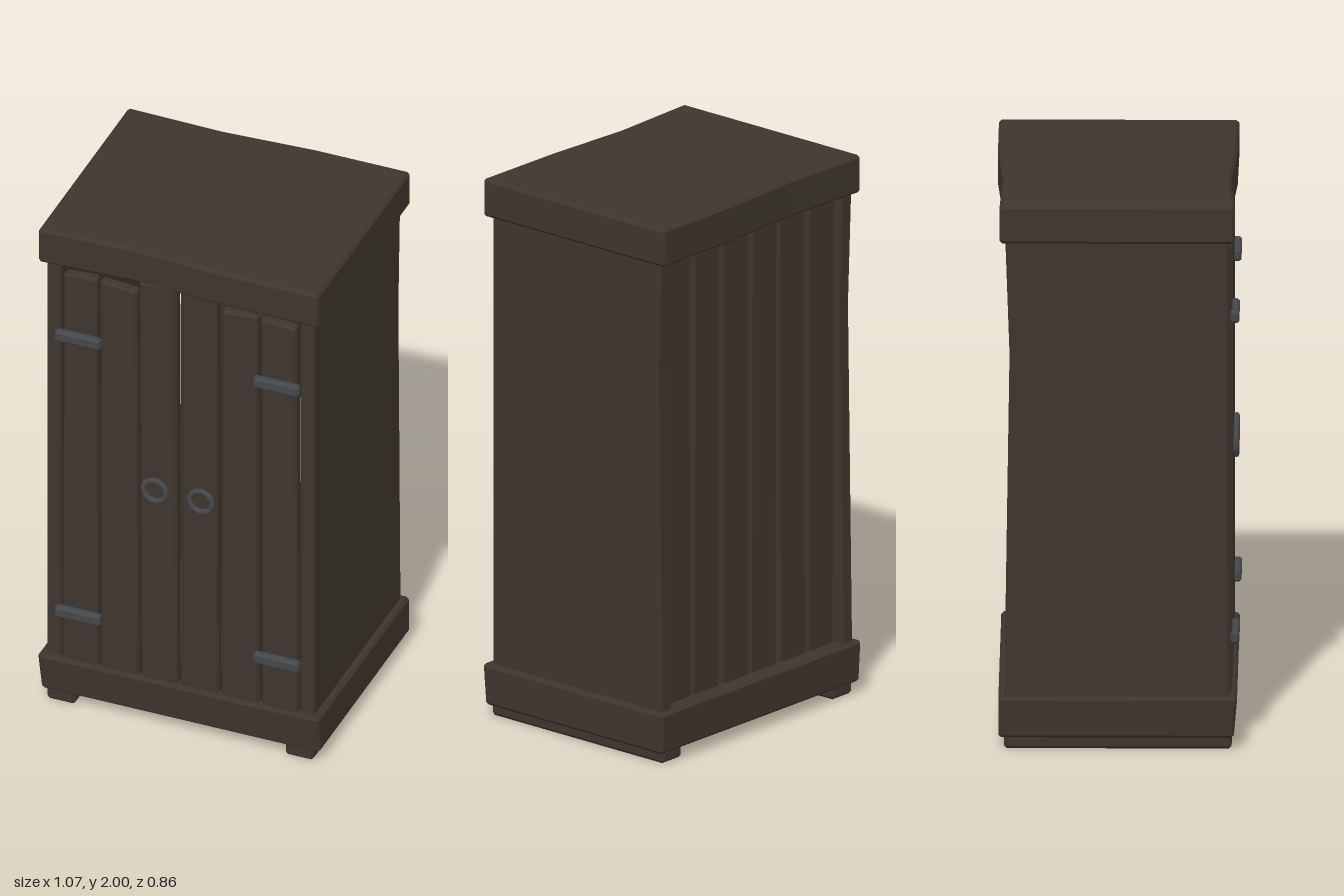
import * as THREE from 'three';

const wood = new THREE.MeshStandardMaterial({ color: 0x3e352d });
wood.name = 'darkWood';
const iron = new THREE.MeshStandardMaterial({ color: 0x44474a });
iron.name = 'iron';

// Piecewise linear lookup through [position, value] pairs
function lerpTable(table, t) {
  if (t <= table[0][0]) return table[0][1];
  for (let i = 1; i < table.length; i++) {
    const [a, va] = table[i - 1], [b, vb] = table[i];
    if (t <= b) return va + ((vb - va) * (t - a)) / (b - a);
  }
  return table[table.length - 1][1];
}

// Box with chamfered edges; cells = inner divisions per axis, bend = rule that moves each vertex
function board(name, min, max, bevel, material, cells = [1, 1, 1], bend = null) {
  const n = cells.map((c) => c + 2);
  const geo = new THREE.BoxGeometry(1, 1, 1, n[0], n[1], n[2]);
  const pos = geo.attributes.position;
  const p = new THREE.Vector3();
  for (let i = 0; i < pos.count; i++) {
    const core = [], out = [];
    for (let a = 0; a < 3; a++) {
      const k = Math.round((pos.getComponent(i, a) + 0.5) * n[a]);
      const t = Math.min(Math.max((k - 1) / cells[a], 0), 1);
      core[a] = min[a] + bevel + t * (max[a] - min[a] - 2 * bevel);
      out[a] = k === 0 ? -bevel : k === n[a] ? bevel : 0;
    }
    // edges and corners are pulled back onto the chamfer plane
    const s = 1 / Math.max(1, out.filter((o) => o !== 0).length);
    p.set(core[0] + out[0] * s, core[1] + out[1] * s, core[2] + out[2] * s);
    if (bend) bend(p);
    pos.setXYZ(i, p.x, p.y, p.z);
  }
  const flat = geo.toNonIndexed();
  flat.computeVertexNormals();
  const mesh = new THREE.Mesh(flat, material);
  mesh.name = name;
  return mesh;
}

export function createModel() {
  const model = new THREE.Group();
  model.name = 'wardrobe';

  // Top slab with slightly wavy front and back edges
  const frontWave = [[-0.53, 0.412], [-0.18, 0.396], [0.17, 0.415], [0.53, 0.417]];
  const backWave = [[-0.53, 0.416], [-0.18, 0.408], [0.17, 0.428], [0.53, 0.428]];
  model.add(board('topSlab', [-0.535, 1.86, -0.42], [0.535, 2, 0.42], 0.01, wood, [3, 1, 1], (p) => {
    p.z *= lerpTable(p.z > 0 ? frontWave : backWave, p.x) / 0.42;
  }));

  // Base slab, narrowing a little toward the floor
  model.add(board('baseSlab', [-0.535, 0.045, -0.42], [0.535, 0.195, 0.42], 0.01, wood, [3, 1, 1], (p) => {
    const low = (0.195 - p.y) / 0.15;
    if (p.x < 0) p.x *= 1 - 0.02 * low;
    if (p.z > 0) p.z *= 1 - 0.03 * low;
  }));

  // Floor runners and side panels
  const backBow = [[0.17, 0], [0.7, 0.008], [1.5, 0.02], [1.88, 0.004]];
  for (const s of [-1, 1]) {
    const span = (a, b) => (s > 0 ? [a, b] : [-b, -a]);
    const [r0, r1] = span(0.4, 0.507);
    model.add(board('runner', [r0, 0, -0.4], [r1, 0.06, 0.4], 0.01, wood));
    const [x0, x1] = span(0.455, 0.51);
    model.add(board('sidePanel', [x0, 0.17, -0.4], [x1, 1.88, 0.392], 0.006, wood, [1, 4, 1], (p) => {
      if (p.z < 0) p.z += lerpTable(backBow, p.y);
    }));
  }

  // Door planks: left and right edge at the bottom, the same at the top, top height
  const doorPlanks = [
    [-0.45, -0.309, -0.444, -0.315, 1.835],
    [-0.303, -0.156, -0.306, -0.164, 1.83],
    [-0.149, -0.008, -0.156, -0.014, 1.875],
    [0.004, 0.146, 0.009, 0.143, 1.875],
    [0.155, 0.302, 0.159, 0.297, 1.835],
    [0.31, 0.452, 0.307, 0.443, 1.83],
  ];
  const doors = new THREE.Group();
  doors.name = 'doors';
  doorPlanks.forEach(([a, b, c, d, top], i) => {
    doors.add(board('doorPlank', [a, 0.17, 0.36], [b, top, 0.402], 0.01, wood, [1, 2, 1], (p) => {
      const t = (p.y - 0.17) / (top - 0.17);
      const u = (p.x - a) / (b - a);
      p.x = (a + (b - a) * u) * (1 - t) + (c + (d - c) * u) * t;
      p.y += (i % 2 ? -0.008 : 0.008) * (u - 0.5) * t;
    }));
  });
  model.add(doors);

  // Recessed back planks
  const back = new THREE.Group();
  back.name = 'back';
  for (let i = 0; i < 6; i++) {
    const x = -0.455 + i * 0.1525;
    const w = i === 5 ? 0.147 : 0.143;
    back.add(board('backPlank', [x, 0.17, -0.362], [x + w, 1.875, -0.325], 0.009, wood, [1, 2, 1], (p) => {
      p.x += (i % 2 ? 0.003 : -0.003) * (p.y - 1);
    }));
  }
  model.add(back);

  // Strap hinges
  for (const x of [-0.382, 0.375]) {
    for (const y of [0.397, 1.573]) {
      model.add(board('hinge', [x - 0.087, y - 0.022, 0.395], [x + 0.087, y + 0.022, 0.427], 0.008, iron));
    }
  }

  // Ring handles
  for (const x of [-0.09, 0.086]) {
    const ring = new THREE.Mesh(new THREE.TorusGeometry(0.043, 0.011, 8, 20), iron);
    ring.name = 'ringHandle';
    ring.position.set(x, 1.004, 0.412);
    model.add(ring);
  }
  return model;
}
